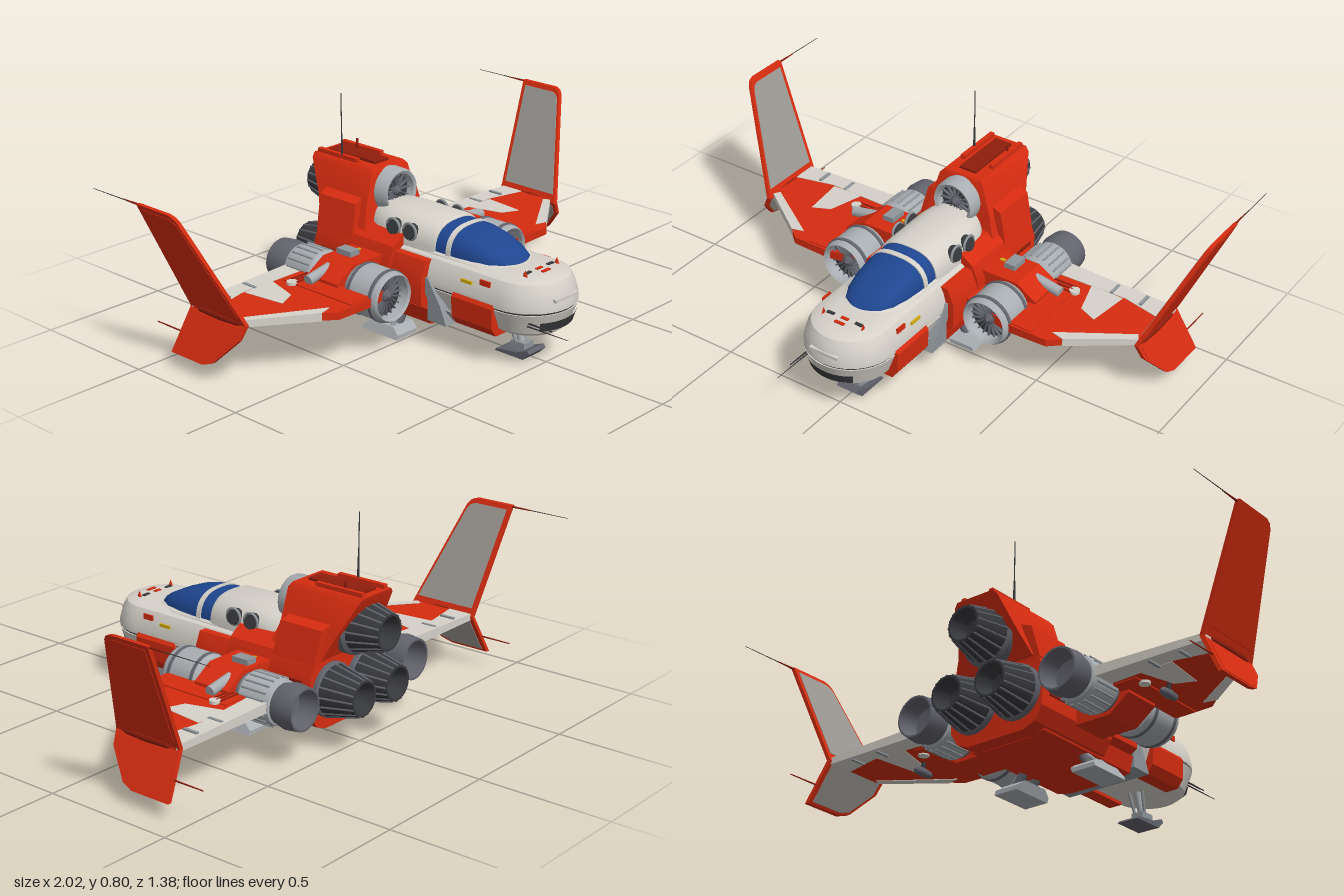
import * as THREE from 'three';
import { toCreasedNormals } from 'three/addons/utils/BufferGeometryUtils.js';

const mat = (color, side = THREE.FrontSide) => new THREE.MeshStandardMaterial({ color, side });
const red = mat(0xd62c10), darkRed = mat(0x8e1d0c), white = mat(0xd6d2ca), grey = mat(0x8f959a);
const steel = mat(0x62636c, THREE.DoubleSide), dark = mat(0x37383b, THREE.DoubleSide), blue = mat(0x1f4690);
const finGrey = mat(0x9c9994), yellow = mat(0xd8b010), silver = mat(0xa9aeb2, THREE.DoubleSide);

export function createModel() {
  const model = new THREE.Group();
  const add = (name, geo, material, x = 0, y = 0, z = 0) => {
    const m = new THREE.Mesh(geo, material);
    m.name = name;
    m.position.set(x, y, z);
    model.add(m);
    return m;
  };
  // Closed skin through rings of equal length, capped at both ends, always facing outward
  const loft = (name, rings, material, crease = 0.5) => {
    const n = rings[0].length, tris = [];
    const mid = r => r.reduce((a, p) => a.add(new THREE.Vector3(...p)), new THREE.Vector3()).divideScalar(n).toArray();
    const c0 = mid(rings[0]), c1 = mid(rings.at(-1));
    for (let j = 0; j < n; j++) {
      const k = (j + 1) % n;
      tris.push([c0, rings[0][k], rings[0][j]], [c1, rings.at(-1)[j], rings.at(-1)[k]]);
      for (let i = 0; i + 1 < rings.length; i++) {
        const [a, b, c, d] = [rings[i][j], rings[i][k], rings[i + 1][k], rings[i + 1][j]];
        tris.push([a, b, c], [a, c, d]);
      }
    }
    const v = p => new THREE.Vector3(...p).sub(new THREE.Vector3(...c0));
    const volume = tris.reduce((s, t) => s + v(t[0]).dot(v(t[1]).cross(v(t[2]))), 0);
    if (volume < 0) tris.forEach(t => t.reverse());
    const geo = new THREE.BufferGeometry();
    geo.setAttribute('position', new THREE.Float32BufferAttribute(tris.flat(2), 3));
    geo.computeVertexNormals();
    return add(name, toCreasedNormals(geo, crease), material);
  };
  // Flat plate from an outline; map places (a, b, offset) in space
  const plate = (name, outline, map, t0, t1, material) =>
    loft(name, [t0, t1].map(t => outline.map(([a, b]) => map(a, b, t))), material);
  const box = (name, w, h, d, material, x, y, z) => add(name, new THREE.BoxGeometry(w, h, d), material, x, y, z);
  // Turned part along z, profile as [radius, z]
  const turned = (name, profile, material, x, y, sides = 32) => {
    const g = new THREE.LatheGeometry(profile.map(p => new THREE.Vector2(...p)), sides).rotateX(Math.PI / 2);
    return add(name, toCreasedNormals(g, 0.5), material, x, y, 0);
  };
  const rod = (name, a, b, r, material, r2 = r) => {
    const A = new THREE.Vector3(...a), B = new THREE.Vector3(...b), d = B.clone().sub(A);
    const m = add(name, new THREE.CylinderGeometry(r2, r, d.length(), 10), material);
    m.position.copy(A).add(B).multiplyScalar(0.5);
    m.quaternion.setFromUnitVectors(new THREE.Vector3(0, 1, 0), d.normalize());
    return m;
  };
  const mirrored = half => [...half, ...half.map(([x, y]) => [-x, y]).reverse()];
  const sideways = (x, y, t) => [x, y, t];

  // Round-nosed forward hull, stacked in height
  const hullRing = (y, inset) => {
    const R = 0.17 - inset, pts = [[-R, y, -0.15]];
    for (let i = 0; i <= 20; i++) {
      const a = Math.PI * (i / 20 - 0.5);
      pts.push([R * Math.sin(a), y, 0.42 + R * Math.cos(a)]);
    }
    return [...pts, [R, y, -0.15]];
  };
  loft('lowerHull', [[0.13, 0.05], [0.145, 0.03], [0.222, 0.001]].map(p => hullRing(...p)), white);
  loft('hullSeam', [[0.222, 0.006], [0.23, 0.006]].map(p => hullRing(...p)), dark);
  loft('upperHull', [[0.23, 0], [0.25, 0], [0.3, 0.014], [0.325, 0.028], [0.338, 0.055], [0.342, 0.1]].map(p => hullRing(...p)), white);
  add('noseGrille', new THREE.CylinderGeometry(0.164, 0.154, 0.035, 24, 1, true, -0.65, 1.3), dark, 0, 0.175, 0.42);
  for (const x of [-0.06, 0, 0.06]) box('noseMark', 0.03, 0.006, 0.012, x ? dark : red, x, 0.343, 0.46);
  box('noseMark', 0.04, 0.006, 0.012, red, 0, 0.343, 0.49);
  box('noseStep', 0.12, 0.012, 0.02, white, 0, 0.27, 0.577);

  // Cockpit glass and cabin, lofted from arches
  const arch = ([z, w, h]) => Array.from({ length: 21 }, (_, i) => {
    const a = Math.PI * i / 20, c = Math.cos(a);
    return [w * Math.sign(c) * Math.abs(c) ** 0.75, 0.33 + h * Math.sin(a) ** 0.8, z];
  });
  loft('canopyGlass', [[0.39, 0.03, 0.012], [0.36, 0.075, 0.035], [0.31, 0.1, 0.06], [0.25, 0.112, 0.083],
    [0.18, 0.118, 0.098], [0.05, 0.12, 0.103]].map(arch), blue, 0.9);
  loft('canopySill', [[0.4, 0.05, 0.012], [0.36, 0.1, 0.018], [0.28, 0.125, 0.02], [0.05, 0.13, 0.022]].map(arch), white);
  loft('canopyFrame', [[0.155, 0.123, 0.102], [0.135, 0.123, 0.104]].map(arch), white);
  loft('cabin', [[0.085, 0.124, 0.104], [0.07, 0.128, 0.11], [-0.14, 0.132, 0.112], [-0.2, 0.125, 0.11], [-0.25, 0.1, 0.1]].map(arch), white);
  for (const s of [-1, 1]) for (const z of [-0.03, -0.11]) {
    const w = add('roundWindow', new THREE.CylinderGeometry(0.029, 0.031, 0.02, 24), dark, s * 0.124, 0.387, z);
    w.rotation.z = -s * 1.25;
    const rim = add('windowRim', new THREE.TorusGeometry(0.03, 0.005, 8, 24), grey, s * 0.129, 0.388, z);
    rim.rotation.y = Math.PI / 2;
  }

  // Rear body, belly and engine tower
  plate('rearBody', mirrored([[0.12, 0.07], [0.17, 0.09], [0.2, 0.14], [0.205, 0.27], [0.18, 0.335], [0.13, 0.37]]), sideways, -0.44, -0.06, red);
  plate('shoulder', mirrored([[0.17, 0.14], [0.2, 0.16], [0.2, 0.26], [0.175, 0.32]]), sideways, -0.06, 0.09, red);
  plate('belly', mirrored([[0.1, 0.068], [0.16, 0.08], [0.175, 0.14]]), sideways, -0.38, 0.1, red);
  plate('keel', mirrored([[0.07, 0.1], [0.13, 0.1], [0.16, 0.15]]), sideways, 0.08, 0.19, grey);
  const rect = (x, y, z0, z1) => [[x, y, z0], [-x, y, z0], [-x, y, z1], [x, y, z1]];
  loft('tower', [rect(0.165, 0.33, -0.22, -0.45), rect(0.13, 0.42, -0.245, -0.49), rect(0.095, 0.54, -0.25, -0.555), rect(0.08, 0.557, -0.26, -0.56)], red);
  box('towerSpine', 0.07, 0.016, 0.24, darkRed, 0, 0.558, -0.41);
  for (const s of [-1, 1]) {
    box('towerRail', 0.018, 0.02, 0.2, red, s * 0.062, 0.562, -0.45);
    loft('towerButtress', [[-0.26, 0.3], [-0.44, 0.32]].map(([z]) => [[s * 0.19, 0.32, z], [s * 0.16, 0.44, z - 0.01], [s * 0.1, 0.46, z - 0.02], [s * 0.1, 0.32, z]]), red);
    for (let i = 0; i < 4; i++) box('bodyVent', 0.006, 0.012, 0.09, darkRed, s * 0.206, 0.19 + i * 0.022, -0.36);
  }
  // Dorsal intake
  const fan = (x, y, z, r, count) => {
    add('fanDisc', new THREE.CircleGeometry(r, 32), dark, x, y, z);
    turned('fanHub', [[r * 0.3, z], [r * 0.25, z + 0.015], [0, z + 0.03]], steel, x, y, 20);
    for (let i = 0; i < count; i++) {
      const a = i / count * Math.PI * 2;
      const b = box('fanBlade', r * 0.68, 0.004, 0.012, steel, x + Math.cos(a) * r * 0.62, y + Math.sin(a) * r * 0.62, z + 0.006);
      b.rotation.z = a;
    }
  };
  turned('dorsalIntake', [[0.087, -0.28], [0.086, -0.205], [0.079, -0.19], [0.068, -0.195], [0.064, -0.24]], silver, 0, 0.465);
  fan(0, 0.465, -0.225, 0.068, 14);

  // Ribbed exhaust cone facing backwards
  const nozzle = (x, y, z0, z1, r0, r1) => {
    turned('exhaustNozzle', [[0, z1 + 0.07], [r1 * 0.6, z1 + 0.06], [r1 * 0.88, z1], [r1, z1], [r0, z1 + (z0 - z1) * 0.75], [r0 * 0.92, z0]], dark, x, y, 24);
    for (let i = 0; i < 16; i++) {
      const a = i / 16 * Math.PI * 2, c = Math.cos(a), s = Math.sin(a);
      rod('nozzleRib', [x + c * r1, y + s * r1, z1 + 0.002], [x + c * r0, y + s * r0, z1 + (z0 - z1) * 0.75], 0.004, steel);
    }
  };
  nozzle(0, 0.43, -0.44, -0.618, 0.1, 0.066);
  turned('nozzleCollar', [[0.095, -0.5], [0.108, -0.49], [0.108, -0.45], [0.09, -0.43]], steel, 0, 0.43);
  for (const s of [-1, 1]) {
    nozzle(s * 0.095, 0.21, -0.42, -0.588, 0.094, 0.065);
    turned('nozzleCollar', [[0.088, -0.465], [0.1, -0.455], [0.1, -0.42], [0.085, -0.4]], steel, s * 0.095, 0.21);
  }

  // Tail fin panels lean outward from the wing tip
  const finUpper = [[-0.13, 0.17], [-0.13, 0.215], [-0.255, 0.6], [-0.268, 0.617], [-0.29, 0.625], [-0.45, 0.625], [-0.41, 0.215], [-0.408, 0.17]].filter(p => p[1] > 0.2);
  const finLower = [[-0.13, 0.215], [-0.14, 0.165], [-0.225, 0.075], [-0.27, 0.06], [-0.43, 0.06], [-0.41, 0.215]];
  const shrink = (o, k) => {
    const c = [0, 1].map(i => o.reduce((s, p) => s + p[i], 0) / o.length);
    return o.map(p => p.map((v, i) => c[i] + (v - c[i]) * k));
  };

  for (const s of [-1, 1]) {
    const X = 0.312, Y = 0.215;
    // Side engine
    turned('engineIntake', [[0.07, -0.1], [0.085, -0.095], [0.094, -0.08], [0.094, 0.035], [0.09, 0.06], [0.084, 0.068], [0.077, 0.06], [0.074, 0.0]], silver, s * X, Y, 40);
    fan(s * X, Y, 0.02, 0.078, 20);
    for (const z of [-0.07, 0.035]) turned('engineBand', [[0.092, z - 0.008], [0.097, z - 0.006], [0.097, z + 0.006], [0.092, z + 0.008]], steel, s * X, Y);
    turned('engineCore', [[0.072, -0.3], [0.072, -0.06]], steel, s * X, Y);
    turned('engineRear', [[0.07, -0.41], [0.08, -0.405], [0.086, -0.38], [0.086, -0.28], [0.075, -0.265], [0.06, -0.265]], silver, s * X, Y);
    for (let i = 0; i < 20; i++) {
      const a = i / 20 * Math.PI * 2, c = Math.cos(a) * 0.086, v = Math.sin(a) * 0.086;
      rod('engineRib', [s * X + c, Y + v, -0.39], [s * X + c, Y + v, -0.285], 0.004, grey);
    }
    turned('engineExhaust', [[0, -0.42], [0.06, -0.43], [0.07, -0.505], [0.077, -0.505], [0.083, -0.45], [0.07, -0.4]], steel, s * X, Y, 24);
    // Pylon housing around the engine waist
    plate('enginePylon', [[0.19, 0.13], [0.19, 0.3], [0.34, 0.3], [0.42, 0.25], [0.42, 0.19], [0.34, 0.13]], (a, b, t) => [s * a, b, t], -0.255, -0.105, red);
    rod('pylonPipe', [s * 0.33, 0.275, -0.21], [s * 0.46, 0.25, -0.21], 0.02, silver);
    box('pylonLatch', 0.045, 0.03, 0.07, grey, s * 0.27, 0.305, -0.2);
    box('pylonMark', 0.02, 0.005, 0.012, yellow, s * 0.22, 0.302, -0.2);

    // Wing with pale stripes
    const wingMap = (a, b, t) => [s * a, 0.222 - 0.012 * (a - 0.2) + t * (1.5 - a * 0.9), b];
    const wing = (name, outline, t, m) => plate(name, outline, wingMap, -t, t, m);
    wing('wing', [[0.19, -0.4], [0.19, 0.0], [0.4, 0.045], [0.555, 0.04], [0.6, 0.0], [0.83, -0.17], [0.83, -0.395]], 0.014, red);
    wing('trailingStripe', [[0.38, -0.402], [0.38, -0.32], [0.66, -0.335], [0.83, -0.3], [0.83, -0.4]], 0.0165, white);
    wing('chordStripe', [[0.52, -0.33], [0.56, -0.19], [0.63, -0.16], [0.65, -0.33]], 0.0155, white);
    wing('leadingStripe', [[0.55, -0.01], [0.6, 0.002], [0.815, -0.155], [0.8, -0.18]], 0.0165, white);
    wing('wingRootPanel', [[0.39, -0.31], [0.39, 0.035], [0.49, 0.035], [0.49, -0.31]], 0.018, red);
    add('wingCap', new THREE.CylinderGeometry(0.02, 0.02, 0.05, 20), white, s * 0.49, 0.219, -0.26);
    for (let i = 0; i < 3; i++) box('wingSlot', 0.09, 0.004, 0.006, darkRed, s * 0.44, 0.242, -0.28 + i * 0.018);
    for (const x of [0.6, 0.72]) box('flapHinge', 0.012, 0.04, 0.06, grey, s * x, 0.216, -0.36);
    rod('underwingMount', [s * 0.545, 0.215, -0.2], [s * 0.545, 0.175, -0.2], 0.008, dark);
    turned('underwingPod', [[0, -0.25], [0.014, -0.235], [0.017, -0.2], [0.012, -0.165], [0, -0.15]], steel, s * 0.545, 0.165, 16);

    // Fin
    const finMap = (z, y, t) => [s * (0.82 + (y > 0.215 ? 0.18 * (y - 0.215) / 0.41 : 0.08 * (0.215 - y) / 0.155) + t), y, z];
    for (const [n, o] of [['upperFin', finUpper], ['lowerFin', finLower]]) {
      plate(n, o, finMap, -0.008, 0.008, red);
      plate(n + 'InnerPanel', shrink(o, 0.88), finMap, -0.0105, 0, finGrey);
      plate(n + 'OuterPanel', shrink(o, 0.88), finMap, 0, 0.0105, red);
    }
    turned('finPod', [[0, -0.38], [0.012, -0.36], [0.015, -0.26], [0.011, -0.18], [0, -0.14]], darkRed, s * 0.825, 0.217, 16);
    rod('finAerial', [s * 0.998, 0.62, -0.44], [s * 0.998, 0.62, -0.69], 0.002, dark, 0.001);
    rod('finAerialBase', [s * 0.997, 0.62, -0.42], [s * 0.997, 0.62, -0.53], 0.005, darkRed, 0.002);
    rod('lowerFinAerial', [s * 0.868, 0.128, -0.31], [s * 0.868, 0.128, -0.545], 0.004, darkRed, 0.002);

    // Cheek panels and bracing on the forward hull
    plate('cheek', [[0.1, 0.118], [0.155, 0.118], [0.178, 0.15], [0.18, 0.225], [0.165, 0.245], [0.1, 0.245]], (a, b, t) => [s * a, b, t], 0.215, 0.4, red);
    plate('hullBrace', [[0.19, 0.1], [0.1, 0.1], [0.1, 0.18], [0.06, 0.26], [0.1, 0.26], [0.16, 0.17]], (z, y, t) => [s * t, y, z], 0.12, 0.178, grey);
    box('hullMark', 0.006, 0.012, 0.05, yellow, s * 0.163, 0.29, 0.27);
    box('hullMark', 0.006, 0.02, 0.045, red, s * 0.161, 0.305, 0.355);
    const crest = add('noseFin', new THREE.ConeGeometry(0.014, 0.03, 4), red, s * 0.085, 0.348, 0.47);
    crest.scale.x = 0.4;

    // Rear landing skid
    const foot = [[0, 0.002], [-0.17, 0.002], [-0.17, 0.018], [-0.14, 0.04], [-0.03, 0.04], [0, 0.018]].map(([z, y]) => [z - 0.01, y]);
    plate('rearSkid', foot, (z, y, t) => [s * (0.165 + t - (y - 0.02) * 0.4), y, z], -0.05, 0.05, silver);
    for (const z of [-0.06, -0.13]) {
      rod('rearLeg', [s * 0.16, 0.035, z], [s * 0.125, 0.09, z], 0.017, steel);
      rod('rearLegBrace', [s * 0.2, 0.03, z], [s * 0.14, 0.085, z], 0.008, grey);
    }
  }

  // Front landing skid
  plate('frontSkid', [[0.46, 0.03], [0.45, 0.042], [0.4, 0.022], [0.31, 0.012], [0.3, 0.002], [0.43, 0.002]], (z, y, t) => [t, y, z], -0.045, 0.045, steel);
  box('frontAnkle', 0.05, 0.035, 0.06, grey, 0, 0.035, 0.39);
  rod('frontLeg', [0, 0.04, 0.39], [0, 0.14, 0.36], 0.013, silver);
  for (const s of [-1, 1]) rod('frontLegBrace', [s * 0.02, 0.04, 0.38], [s * 0.03, 0.14, 0.35], 0.006, grey);

  // Aerials and probes
  rod('mastBase', [-0.065, 0.55, -0.43], [-0.065, 0.65, -0.43], 0.005, dark, 0.003);
  rod('mast', [-0.065, 0.64, -0.43], [-0.065, 0.805, -0.43], 0.002, dark);
  rod('shortMast', [0.055, 0.55, -0.47], [0.055, 0.595, -0.47], 0.005, darkRed);
  rod('noseProbe', [-0.12, 0.178, 0.5], [-0.12, 0.178, 0.69], 0.003, dark, 0.001);
  rod('noseProbeShort', [-0.12, 0.19, 0.5], [-0.12, 0.19, 0.62], 0.004, dark, 0.002);
  return model;
}
